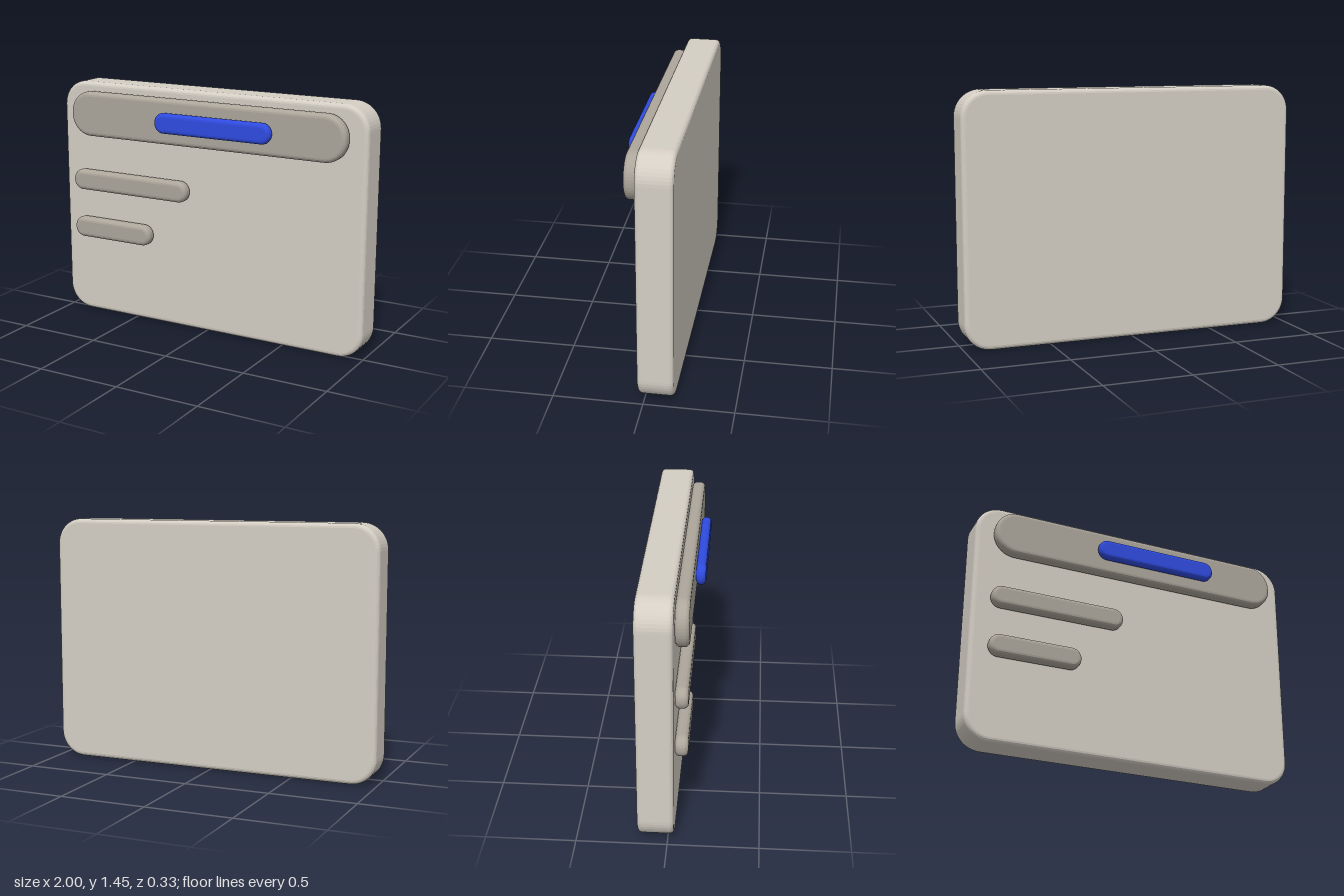
import * as THREE from 'three';

const material = (name, color) => {
  const m = new THREE.MeshStandardMaterial({ color });
  m.name = name;
  return m;
};

// Rounded rectangle outline
function roundedRect(x0, x1, y0, y1, r) {
  const s = new THREE.Shape();
  s.absarc(x1 - r, y0 + r, r, -Math.PI / 2, 0);
  s.absarc(x1 - r, y1 - r, r, 0, Math.PI / 2);
  s.absarc(x0 + r, y1 - r, r, Math.PI / 2, Math.PI);
  s.absarc(x0 + r, y0 + r, r, Math.PI, Math.PI * 1.5);
  return s;
}

// Bevelled slab filling the given extents; radius is the outer corner radius
function slab(name, mat, [x0, x1], [y0, y1], [z0, z1], radius, bevel) {
  const shape = roundedRect(x0 + bevel, x1 - bevel, y0 + bevel, y1 - bevel, radius - bevel);
  const geometry = new THREE.ExtrudeGeometry(shape, {
    depth: z1 - z0 - 2 * bevel,
    bevelThickness: bevel,
    bevelSize: bevel,
    bevelSegments: 4,
    curveSegments: 6,
  });
  geometry.translate(0, 0, z0 + bevel);
  const mesh = new THREE.Mesh(geometry, mat);
  mesh.name = name;
  return mesh;
}

export function createModel() {
  const group = new THREE.Group();
  group.name = 'windowPanel';

  const panelMat = material('warm light grey', 0xd4cec4);
  const barMat = material('warm grey', 0xaca69b);
  const blueMat = material('blue', 0x2f4be0);

  group.add(
    // Back panel
    slab('panel', panelMat, [-1, 1], [0, 1.45], [-0.165, 0.035], 0.15, 0.026),
    // Raised header with its blue pill
    slab('headerBar', barMat, [-0.9, 0.9], [1.13, 1.4], [0.035, 0.11], 0.13, 0.026),
    slab('bluePill', blueMat, [-0.28, 0.47], [1.205, 1.325], [0.11, 0.165], 0.058, 0.024),
    // Two raised content lines
    slab('upperLine', barMat, [-0.9, -0.1], [0.79, 0.915], [0.035, 0.107], 0.06, 0.026),
    slab('lowerLine', barMat, [-0.9, -0.355], [0.49, 0.615], [0.035, 0.107], 0.06, 0.026),
  );
  return group;
}
